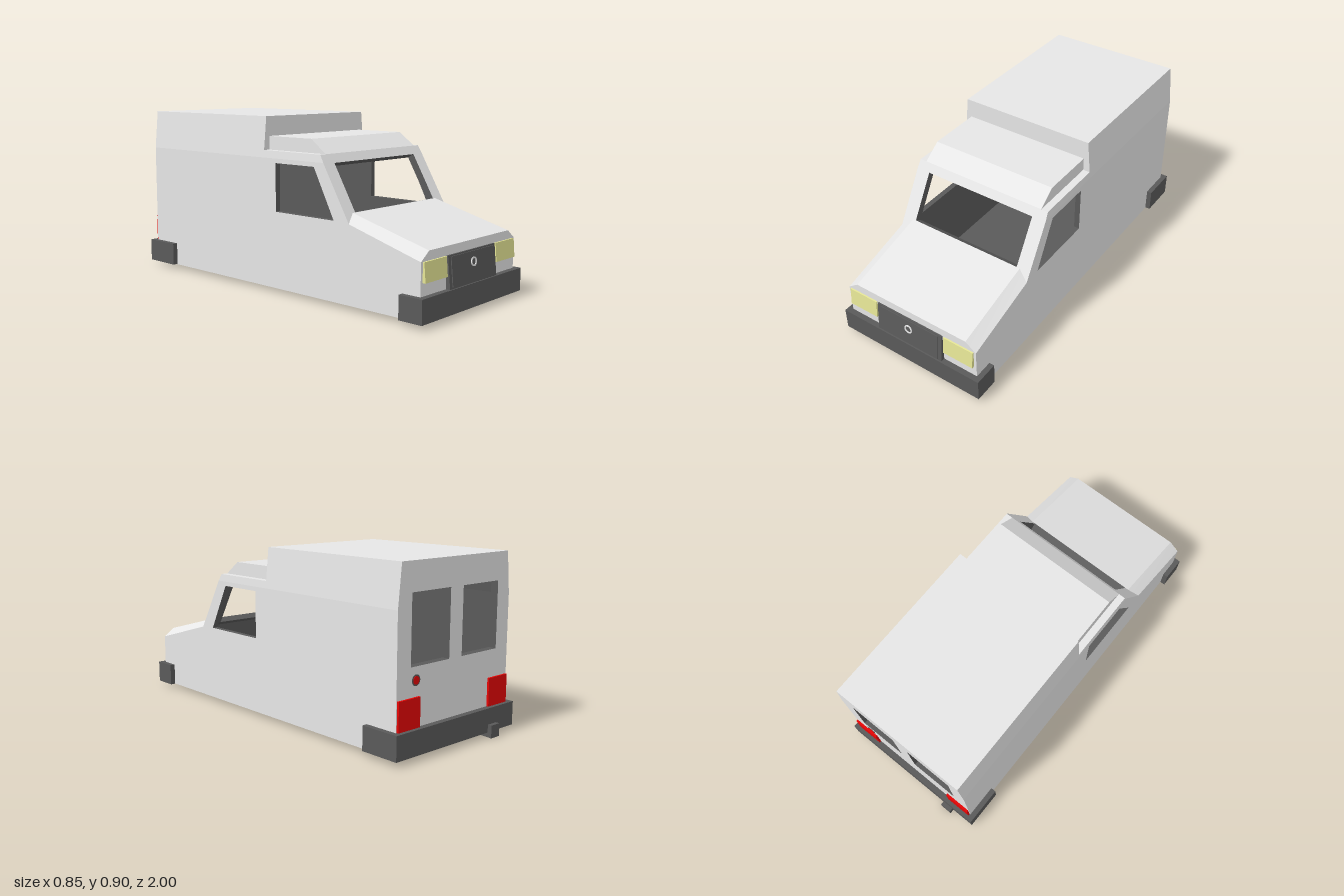
import * as THREE from 'three';

const mat = (name, color, side = THREE.FrontSide) => {
  const m = new THREE.MeshStandardMaterial({ color, side });
  m.name = name;
  return m;
};
const V = (x, y, z) => new THREE.Vector3(x, y, z);

export function createModel() {
  const van = new THREE.Group();
  van.name = 'van';
  const paint = mat('light grey paint', 0xe6e6e6);
  const under = mat('underbody grey', 0xc8c8c8);
  const dark = mat('dark grey trim', 0x5a5a5a, THREE.DoubleSide);
  const yellow = mat('headlight yellow', 0xe6e696);
  const red = mat('tail light red', 0xe60505);
  const chrome = mat('bright ring', 0xf8f8f8);

  const add = (name, geo, material, parent = van) => {
    const m = new THREE.Mesh(geo, material);
    m.name = name;
    parent.add(m);
    return m;
  };
  // Box given by its extents
  const box = (name, material, x0, x1, y0, y1, z0, z1) =>
    add(name, new THREE.BoxGeometry(x1 - x0, y1 - y0, z1 - z0), material)
      .position.set((x0 + x1) / 2, (y0 + y1) / 2, (z0 + z1) / 2);
  // Side profile of [z, y] points extruded across x
  const across = (name, material, pts, x0, x1) => {
    const shape = new THREE.Shape(pts.map(p => new THREE.Vector2(...p)));
    const geo = new THREE.ExtrudeGeometry(shape, { depth: x1 - x0, bevelEnabled: false });
    add(name, geo.rotateY(-Math.PI / 2).translate(x1, 0, 0), material);
  };
  const surface = (verts, index, sharp = false) => {
    let geo = new THREE.BufferGeometry().setFromPoints(verts);
    geo.setIndex(index);
    if (sharp) geo = geo.toNonIndexed();
    geo.computeVertexNormals();
    return geo;
  };

  // Body wall: outer skin, dark lining and dark window reveals.
  // Corners run counter-clockwise as seen from outside.
  const wall = (name, pts, holes = [], t = 0.03, skin = paint) => {
    const n = V(0, 0, 0);
    pts.forEach((p, i) => n.add(p.clone().cross(pts[(i + 1) % pts.length])));
    n.normalize();
    const u = pts[1].clone().sub(pts[0]).normalize();
    const v = n.clone().cross(u);
    const flat = list => list.map(p => new THREE.Vector2(p.dot(u), p.dot(v)));
    const holes2 = holes.map(h => (THREE.ShapeUtils.isClockWise(flat(h)) ? h : h.slice().reverse()));
    const tris = THREE.ShapeUtils.triangulateShape(flat(pts), holes2.map(flat));
    const all = pts.concat(...holes2);
    const inset = p => p.clone().addScaledVector(n, -t);
    const g = new THREE.Group();
    g.name = name;
    van.add(g);
    add(name + ' skin', surface(all, tris.flat()), skin, g);
    add(name + ' lining', surface(all.map(inset), tris.map(f => [f[0], f[2], f[1]]).flat()), dark, g);
    holes2.forEach(h => {
      const index = [], k = h.length;
      for (let i = 0; i < k; i++) {
        const j = (i + 1) % k;
        index.push(i, j, j + k, i, j + k, i + k);
      }
      add(name + ' window reveal', surface([...h, ...h.map(inset)], index, true), dark, g);
    });
  };
  const mirror = pts => pts.map(p => V(-p.x, p.y, p.z)).reverse();
  // Both sides of a left-hand wall
  const pair = (name, pts, holes = []) => {
    wall('left ' + name, pts, holes);
    wall('right ' + name, mirror(pts), holes.map(mirror));
  };

  // Main dimensions: half width, floor, shoulder, cab roof, high roof
  const W = 0.397, F = 0.023, S = 0.695, C = 0.733, R = 0.905;
  const back = -0.946, nose = 0.97, step = -0.027, hoodW = 0.338;
  const halfAt = y => W - 0.021 * Math.max(0, y - S) / (R - S);
  const screenZ = y => 0.365 + (C - y) * 0.587;
  const side = (z, y) => V(halfAt(y), y, z);
  const screen = (x, y) => V(x, y, screenZ(y));

  // Sides: upright below the shoulder, leaning in above it
  pair('side',
    [[nose, F], [back, F], [back, S], [screenZ(S), S], [screenZ(0.417), 0.417], [nose, 0.298]].map(p => side(...p)),
    [[[0.455, 0.423], [0.06, 0.423], [0.06, 0.672], [0.325, 0.672]].map(p => side(...p))]);
  pair('upper side',
    [[screenZ(S), S], [back, S], [back, R], [step, R], [step, C], [0.365, C]].map(p => side(...p)));

  // Windscreen frame
  const c = halfAt(C), r = halfAt(R);
  wall('windscreen frame',
    [[-hoodW, 0.461], [hoodW, 0.461], [W, 0.417], [W, S], [c, C], [-c, C], [-W, S], [-W, 0.417]].map(p => screen(...p)),
    [[[-0.32, 0.462], [0.32, 0.462], [0.32, 0.69], [-0.32, 0.69]].map(p => screen(...p))], 0.04);

  // Hood with chamfered edges, and nose
  const hoodBack = screenZ(0.461);
  wall('hood', [V(-hoodW, 0.342, nose), V(hoodW, 0.342, nose), V(hoodW, 0.461, hoodBack), V(-hoodW, 0.461, hoodBack)], [], 0.02);
  pair('hood edge', [V(W, 0.298, nose), V(W, 0.417, screenZ(0.417)), V(hoodW, 0.461, hoodBack), V(hoodW, 0.342, nose)]);
  wall('nose', [[-W, F], [W, F], [W, 0.298], [hoodW, 0.342], [-hoodW, 0.342], [-W, 0.298]].map(p => V(...p, nose)));

  // Roofs, the step between them, and the floor
  wall('cab roof', [V(-c, C, 0.365), V(c, C, 0.365), V(c, C, step), V(-c, C, step)]);
  wall('roof step', [V(-c, C, step), V(c, C, step), V(r, R, step), V(-r, R, step)]);
  wall('high roof', [V(-r, R, step), V(r, R, step), V(r, R, back), V(-r, R, back)]);
  wall('floor', [V(-W, F, back), V(W, F, back), V(W, F, nose), V(-W, F, nose)], [], 0.02, under);
  across('raised cab roof', paint, [[step, C], [0.365, C], [0.27, 0.803], [step, 0.803]], -0.355, 0.355);

  // Rear wall with two windows
  const rearWindow = s => [[0.045, 0.43], [0.307, 0.43], [0.307, 0.765], [0.045, 0.765]].map(([x, y]) => V(s * x, y, back));
  wall('rear wall', [[W, F], [-W, F], [-W, S], [-r, R], [r, R], [W, S]].map(p => V(...p, back)),
    [rearWindow(1), rearWindow(-1)], 0.04);

  // Bumpers with wrap-around ends
  const B = 0.425;
  box('front bumper', dark, -B, B, 0.022, 0.14, nose, 1.0);
  box('rear bumper', dark, -B, B, 0.025, 0.147, -0.977, back);
  for (const [x0, x1] of [[W, B], [-B, -W]]) {
    box('front bumper end', dark, x0, x1, 0.022, 0.14, 0.87, nose);
    box('rear bumper end', dark, x0, x1, 0.025, 0.147, back, -0.765);
  }

  // Tow bar under the tail
  across('tow bar', dark, [[-0.56, 0.026], [-0.56, 0.022], [-1, 0], [-1, 0.065], [-0.978, 0.065], [-0.978, 0.026]], -0.288, -0.225);

  // Sloping grille with plain ring
  across('grille surround', dark, [[nose, 0.14], [0.993, 0.14], [0.978, 0.298], [nose, 0.298]], -0.2, 0.2);
  across('grille panel', dark, [[nose, 0.148], [0.997, 0.148], [0.983, 0.291], [nose, 0.291]], -0.18, 0.18);
  const ring = new THREE.Shape().absarc(0, 0, 0.023, 0, Math.PI * 2);
  ring.holes.push(new THREE.Path().absarc(0, 0, 0.016, 0, Math.PI * 2, true));
  const badge = add('grille ring', new THREE.ExtrudeGeometry(ring, { depth: 0.005, bevelEnabled: false, curveSegments: 16 }), chrome);
  badge.position.set(0, 0.241, 0.987);
  badge.rotation.x = -0.1;

  // Lamps
  for (const s of [-1, 1]) {
    const span = (a, b) => (s > 0 ? [a, b] : [-b, -a]);
    across('headlight', yellow, [[nose, 0.202], [0.986, 0.202], [0.978, 0.297], [nose, 0.297]], ...span(0.21, 0.383));
    box('tail light', red, ...span(0.25, 0.392), 0.147, 0.29, -0.957, back);
  }
  const disc = (name, material, radius, depth) =>
    add(name, new THREE.CylinderGeometry(radius, radius, depth, 20).rotateX(Math.PI / 2), material)
      .position.set(0.272, 0.367, back - depth / 2);
  disc('round lamp rim', dark, 0.027, 0.002);
  disc('round lamp', red, 0.02, 0.004);

  return van;
}
